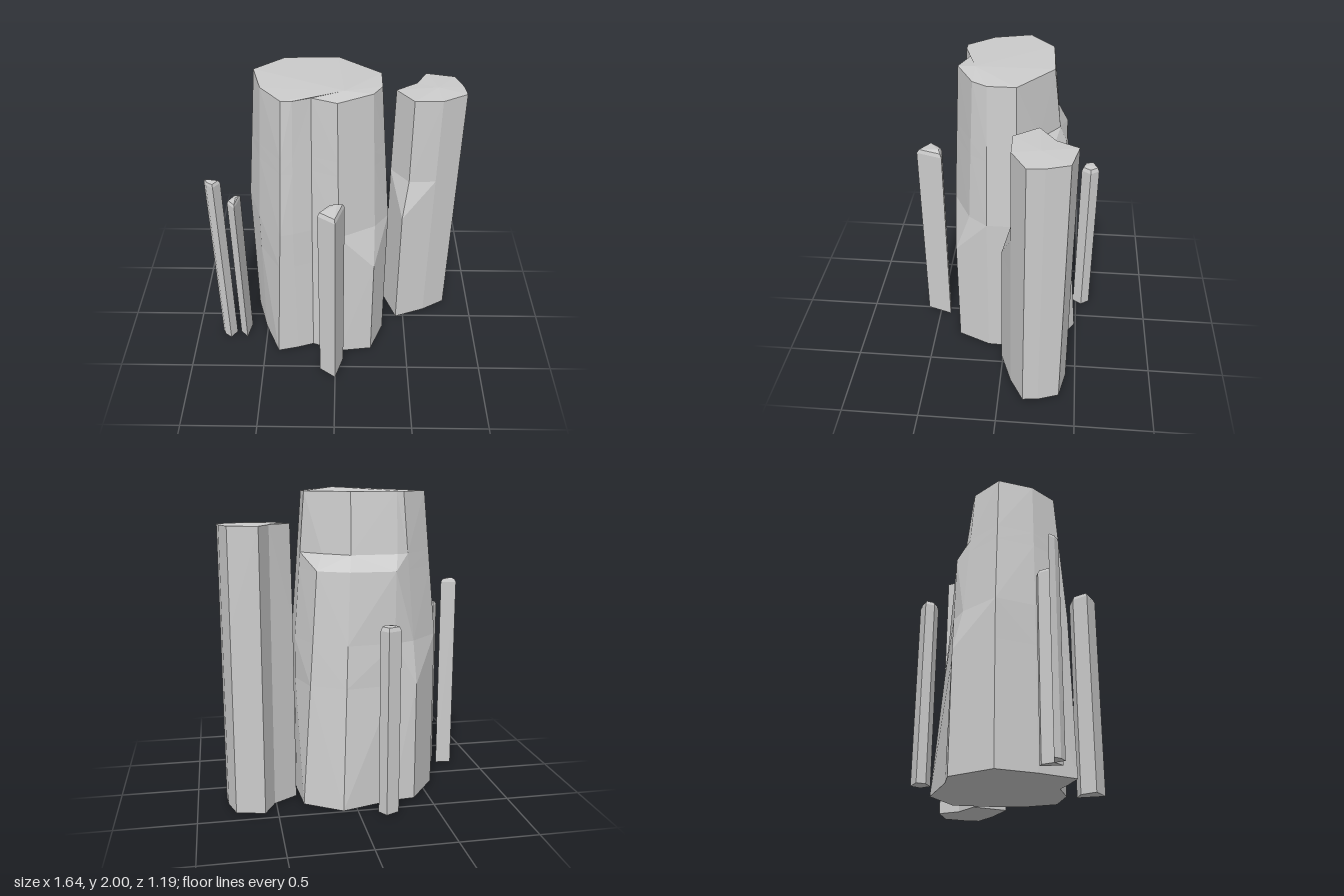
import * as THREE from 'three';

const material = new THREE.MeshStandardMaterial({ color: 0xcccccc, flatShading: true });

// Position of a corner edge at height y; keys are [y, x, z] from bottom to top
function cornerAt(keys, y) {
  let i = 1;
  while (i < keys.length - 1 && keys[i][0] < y) i++;
  const a = keys[i - 1], b = keys[i];
  const t = (y - a[0]) / (b[0] - a[0]);
  return new THREE.Vector3(a[1] + (b[1] - a[1]) * t, y, a[2] + (b[2] - a[2]) * t);
}

// Faceted stone lofted through corner edges (counterclockwise from above), fanned to a peak
function stone(name, corners, levels, peak) {
  const n = corners.length;
  const rings = levels.map(y => corners.map(keys => cornerAt(keys, y)));
  const positions = [];
  const tri = (...points) => points.forEach(p => positions.push(p.x, p.y, p.z));
  const centre = new THREE.Vector3();
  rings[0].forEach(p => centre.addScaledVector(p, 1 / n));
  const reach = (p, q) => Math.hypot((p.x + q.x) / 2 - centre.x, (p.z + q.z) / 2 - centre.z);

  for (let j = 0; j < n; j++) {
    const k = (j + 1) % n;
    for (let i = 0; i < levels.length - 1; i++) {
      const a = rings[i][j], b = rings[i][k], c = rings[i + 1][k], d = rings[i + 1][j];
      // split along the outer diagonal, so chipped corners become clean triangles
      if (reach(b, d) > reach(a, c)) { tri(a, b, d); tri(b, c, d); }
      else { tri(a, b, c); tri(a, c, d); }
    }
    const top = rings[levels.length - 1];
    tri(top[j], top[k], new THREE.Vector3(...peak));
    tri(rings[0][k], rings[0][j], centre);
  }
  const geometry = new THREE.BufferGeometry();
  geometry.setAttribute('position', new THREE.Float32BufferAttribute(positions, 3));
  geometry.computeVertexNormals();
  const mesh = new THREE.Mesh(geometry, material);
  mesh.name = name;
  return mesh;
}

// Straight shard with a bevelled tip
function shard(name, outline, base, shoulder, tip, inset, peak) {
  const n = outline.length;
  const cx = outline.reduce((s, p) => s + p[0], 0) / n;
  const cz = outline.reduce((s, p) => s + p[1], 0) / n;
  const corners = outline.map(([x, z]) => [
    [base, x, z], [shoulder, x, z],
    [tip, cx + (x - cx) * (1 - inset), cz + (z - cz) * (1 - inset)],
  ]);
  return stone(name, corners, [base, shoulder, tip], peak);
}

export function createModel() {
  const group = new THREE.Group();
  group.name = 'rockColumns';

  // Large tapering column with chipped corners and a ledge at the back
  group.add(stone('mainColumn', [
    [[0, -0.585, -0.13], [1.05, -0.585, -0.13], [1.98, -0.5, -0.11]],
    [[0, -0.51, 0.12], [1.05, -0.5, 0.12], [1.98, -0.44, 0.12]],
    [[0, -0.405, 0.357], [1.05, -0.35, 0.34], [1.98, -0.31, 0.28]],
    [[0, -0.27, 0.325], [1.05, -0.27, 0.32], [1.98, -0.245, 0.28]],
    [[0, -0.16, 0.29], [1.05, -0.15, 0.275], [1.98, -0.14, 0.24]],
    [[0, 0.025, 0.355], [1.05, 0.02, 0.35], [1.98, 0.01, 0.3]],
    [[0, 0.25, 0.325], [0.78, 0.25, 0.325], [1.05, 0.25, 0.23], [1.98, 0.215, 0.19]],
    [[0, 0.34, 0.11], [1.05, 0.34, 0.11], [1.98, 0.27, 0.1]],
    [[0, 0.345, -0.08], [1.05, 0.34, -0.08], [1.98, 0.27, -0.07]],
    [[0, 0.325, -0.345], [1.5, 0.22, -0.275], [1.6, 0.175, -0.2], [1.98, 0.14, -0.175]],
    [[0, 0.09, -0.49], [1.5, 0.03, -0.37], [1.6, 0.015, -0.325], [1.98, 0.01, -0.28]],
    [[0, -0.25, -0.395], [1.5, -0.26, -0.37], [1.6, -0.28, -0.31], [1.98, -0.28, -0.268]],
    [[0, -0.4, -0.38], [0.78, -0.4, -0.38], [1.05, -0.39, -0.32], [1.98, -0.325, -0.262]],
  ], [0, 0.78, 1.05, 1.5, 1.6, 1.98], [0.05, 2, 0.19]));

  // Second column, chipped at its front corner
  const straight = (x, z) => [[0, x, z], [1.79, x, z]];
  group.add(stone('sideColumn', [
    [[0, 0.36, -0.21], [1.19, 0.365, -0.21], [1.79, 0.375, -0.21]],
    [[0, 0.445, 0.01], [0.93, 0.445, 0.005], [1.19, 0.48, -0.062], [1.79, 0.48, -0.065]],
    straight(0.655, -0.068),
    straight(0.815, -0.16),
    straight(0.805, -0.26),
    straight(0.76, -0.395),
    straight(0.58, -0.437),
    straight(0.51, -0.305),
  ], [0, 0.93, 1.19, 1.79], [0.64, 1.8, -0.23]));

  // Thin shards around the columns
  group.add(shard('frontShard',
    [[-0.035, 0.435], [-0.105, 0.52], [0, 0.595], [0.055, 0.425]],
    0, 1.355, 1.38, 0.15, [0.01, 1.392, 0.45]));
  group.add(shard('backShard',
    [[-0.25, -0.56], [-0.23, -0.505], [-0.165, -0.48], [-0.125, -0.54], [-0.165, -0.597]],
    0, 1.17, 1.195, 0.18, [-0.19, 1.2, -0.54]));
  group.add(shard('outerLeftShard',
    [[-0.825, 0.165], [-0.805, 0.205], [-0.76, 0.235], [-0.72, 0.18]],
    0, 1.345, 1.365, 0.2, [-0.795, 1.375, 0.185]));
  group.add(shard('innerLeftShard',
    [[-0.65, 0.12], [-0.692, 0.185], [-0.64, 0.24], [-0.615, 0.115]],
    0.01, 1.19, 1.208, 0.2, [-0.64, 1.215, 0.165]));

  return group;
}
